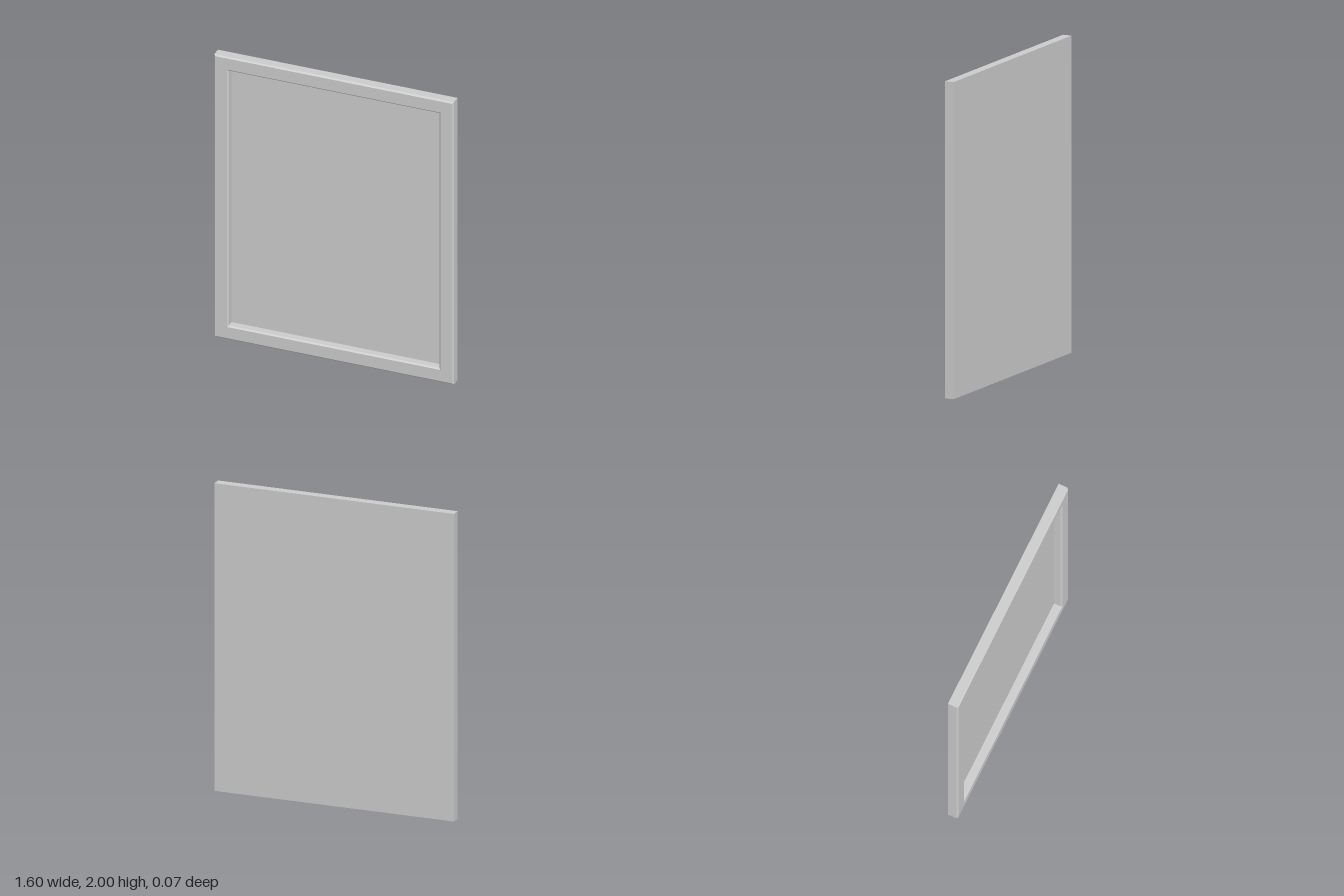
import * as THREE from 'three';

const W = 0.8, H = 1, D = 0.034; // half width, half height, half depth
const BEVEL = 0.009, BORDER = 0.088, PANEL_Z = -0.02;

// Sweeps a profile of [inset, z] points round the rectangle with mitred corners
function rectangularSweep(profile) {
  const corners = [[-1, -1], [1, -1], [1, 1], [-1, 1]];
  const point = ([inset, z], [sx, sy]) => [sx * (W - inset), sy * (H - inset), z];
  const positions = [];
  for (let i = 0; i < profile.length - 1; i++) {
    for (let j = 0; j < 4; j++) {
      const a = point(profile[i], corners[j]);
      const b = point(profile[i], corners[(j + 1) % 4]);
      const c = point(profile[i + 1], corners[(j + 1) % 4]);
      const d = point(profile[i + 1], corners[j]);
      positions.push(...a, ...b, ...c, ...a, ...c, ...d);
    }
  }
  const geometry = new THREE.BufferGeometry();
  geometry.setAttribute('position', new THREE.Float32BufferAttribute(positions, 3));
  geometry.computeVertexNormals();
  return geometry;
}

export function createModel() {
  const model = new THREE.Group();
  model.name = 'framedPanel';
  const grey = new THREE.MeshStandardMaterial({ color: 0xcccccc });
  grey.name = 'light grey';

  const add = (name, geometry, z = 0) => {
    const mesh = new THREE.Mesh(geometry, grey);
    mesh.name = name;
    mesh.position.set(0, H, z);
    model.add(mesh);
    return mesh;
  };

  // Frame: outer wall, front chamfer, flat face, inner chamfer, inner wall
  add('frame', rectangularSweep([
    [0, -D],
    [0, D - BEVEL],
    [BEVEL, D],
    [BORDER, D],
    [BORDER + BEVEL, D - BEVEL],
    [BORDER + BEVEL, PANEL_Z],
  ]));

  // Recessed panel inside the frame
  const inset = BORDER + BEVEL;
  add('panel', new THREE.PlaneGeometry(2 * (W - inset), 2 * (H - inset)), PANEL_Z);

  // Flat back
  add('back', new THREE.PlaneGeometry(2 * W, 2 * H), -D).rotation.y = Math.PI;

  return model;
}
